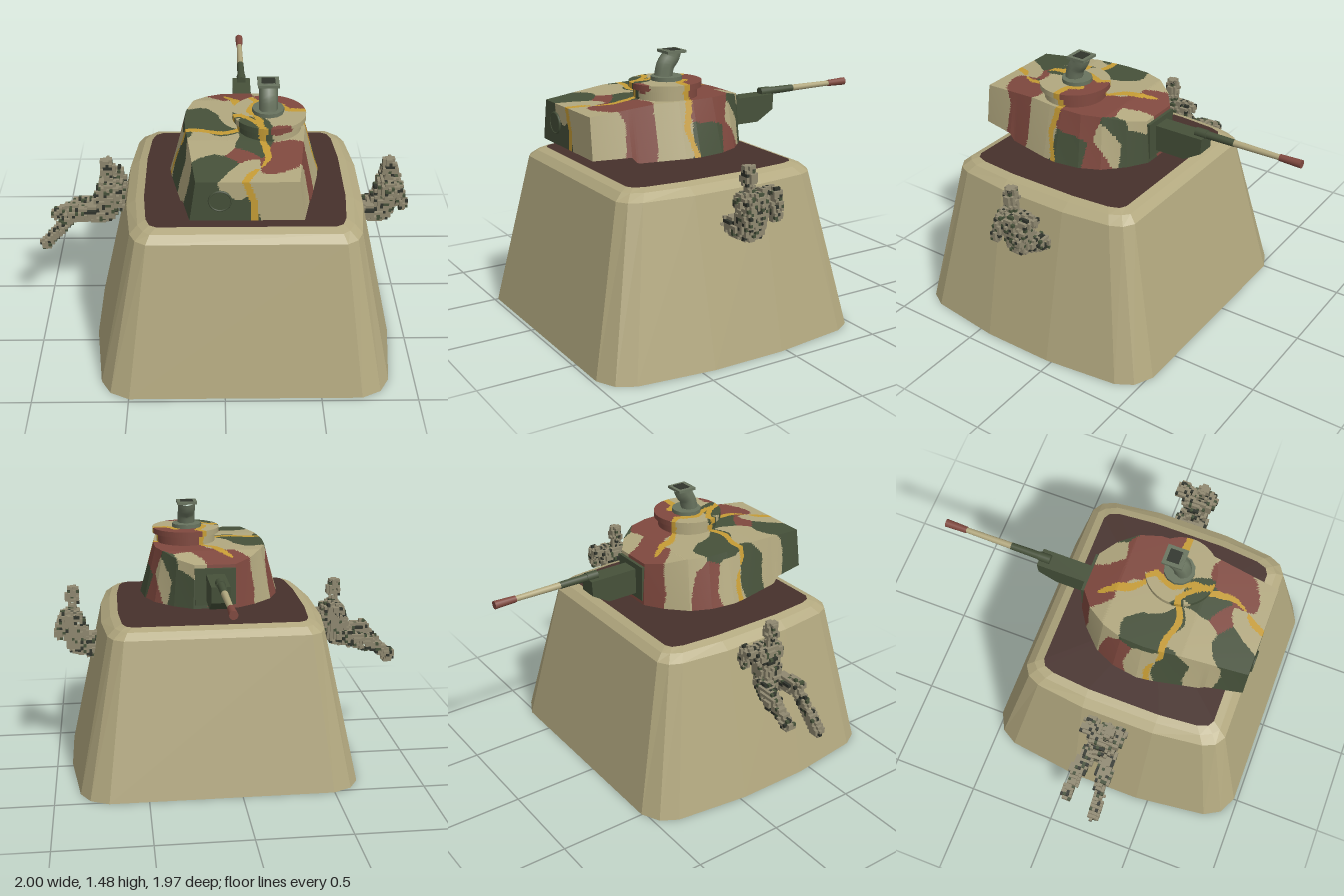
import * as THREE from 'three';
import { mergeGeometries } from 'three/addons/utils/BufferGeometryUtils.js';

const mat = (name, color) => Object.assign(new THREE.MeshStandardMaterial({ color }), { name });
const sand = mat('sand', 0xb2a87f), green = mat('green', 0x46513a), brown = mat('redBrown', 0x80493f);
const yellow = mat('yellow', 0xc69c35), deck = mat('deckBrown', 0x47312c), grey = mat('greyGreen', 0x69745f);
const uniform = mat('uniform', 0x8f8870), dark = mat('dark', 0x30342c);
const camoMats = [sand, green, brown, yellow];
const CX = 0.107, CZ = 0.23;
const V = (x, y, z) => new THREE.Vector3(x, y, z);
const lerp = THREE.MathUtils.lerp;

function add(parent, name, geometry, material, x = 0, y = 0, z = 0) {
  const m = new THREE.Mesh(geometry, material);
  m.name = name;
  m.position.set(x, y, z);
  parent.add(m);
  return m;
}

// Flat-faced skin over closed rings; pick(centroid) chooses the material index of each face
function skin(rings, pick) {
  const bins = [[], [], [], []], c = V(), t = new THREE.Triangle();
  const face = (a, b, d) => {
    t.set(a, b, d);
    if (t.getArea() < 1e-9) return;
    bins[pick ? pick(t.getMidpoint(c)) : 0].push(...a, ...b, ...d);
  };
  for (let r = 0; r + 1 < rings.length; r++) {
    const lo = rings[r], hi = rings[r + 1], n = lo.length;
    for (let i = 0; i < n; i++) {
      const j = (i + 1) % n;
      face(lo[i], lo[j], hi[j]);
      face(lo[i], hi[j], hi[i]);
    }
  }
  const g = new THREE.BufferGeometry();
  g.setAttribute('position', new THREE.Float32BufferAttribute(bins.flat(), 3));
  let start = 0;
  bins.forEach((b, i) => {
    if (b.length) g.addGroup(start, b.length / 3, i);
    start += b.length / 3;
  });
  g.computeVertexNormals();
  return g;
}

// Camouflage: blot centres [x, y, z] for each colour, and yellow lines between them
const T = 1.23, blots = [
  [[-0.12, T, 0.03], [-0.14, T, -0.05], [0.05, T, 0.22], [0.03, T, 0.11], [0.26, 1.18, -0.08], [0.35, T, 0.37], [0, T, 0.5],
    [-0.1, T, 0.49], [0.1, T, 0.71], [0.28, T, 0.77], [0.42, 1.1, 0.72], [0.45, 1.1, 0.41], [0.39, 1.1, -0.04],
    [-0.27, 1.1, 0.25], [-0.2, 1.1, 0.57], [-0.13, 1.1, 0], [0.04, 1.17, 0.81], [0.28, 1.1, 0.81], [0.22, 1.1, 0.81]],
  [[-0.13, T, 0.2], [-0.04, T, 0.29], [0.13, T, 0.5], [-0.08, T, 0.72], [0, T, 0.64], [0.36, 1.16, -0.07], [0.3, 1.08, -0.12],
    [0.49, 1.04, 0.16], [-0.24, 1.1, 0.42], [-0.17, 1.1, 0.74], [-0.1, 1.1, 0.81], [0.09, 1.03, 0.81], [0.01, 1.06, 0.81]],
  [[-0.02, T, -0.1], [0.12, T, -0.02], [0.25, T, 0.06], [0.36, T, 0.15], [0.29, T, 0.2], [0.33, T, 0.56], [0.06, T, 0.58],
    [0.26, T, 0.66], [0.43, 1.1, 0.56], [0.45, 1.2, 0.14], [0.46, 1, 0.03], [-0.25, 1.1, 0.1], [-0.01, 1.1, -0.13]],
];
const lines = [
  [V(0, T, -0.16), V(0.03, T, -0.02), V(0.1, T, 0.1), V(0.16, T, 0.17), V(0.14, T, 0.3), V(0.18, T, 0.42), V(0.22, T, 0.5),
    V(0.2, T, 0.6), V(0.18, T, 0.7), V(0.09, 1.2, 0.8), V(0.14, 1.08, 0.81), V(0.15, 0.98, 0.8)],
  [V(-0.29, 0.96, 0.3), V(-0.2, T, 0.34), V(-0.08, T, 0.37), V(0.08, T, 0.35), V(0.18, T, 0.42)],
  [V(0.28, T, 0.23), V(0.34, T, 0.29), V(0.42, T, 0.27), V(0.46, 1.1, 0.31), V(0.49, 0.96, 0.28)],
];
const segments = lines.flatMap(l => l.slice(1).map((p, i) => new THREE.Line3(l[i], p)));
const near = V();
function camo(p) {
  const q = V(p.x + 0.012 * Math.sin(31 * p.z + 9 * p.y), p.y > 1.235 ? T : p.y, p.z + 0.014 * Math.sin(27 * p.x + 14 * p.y));
  for (const s of segments) if (s.closestPointToPoint(q, true, near).distanceTo(q) < 0.018) return 3;
  let best = 9, pick = 0;
  blots.forEach((list, k) => list.forEach(([x, y, z]) => {
    const d = (q.x - x) ** 2 + 0.6 * (q.y - y) ** 2 + (q.z - z) ** 2;
    if (d < best) { best = d; pick = k; }
  }));
  return pick;
}

// Tapering base with chamfered corners, rounded lip and dark deck
function buildBase(root) {
  const ring = (y, quarter) => {
    const half = [...quarter, ...quarter.map(([x, z]) => [x, -z]).reverse()];
    return [...half, ...half.map(([x, z]) => [-x, -z])].map(([x, z]) => V(CX + x, y, CZ + z));
  };
  const point = (y, r) => r.map(() => V(CX, y, CZ));
  const foot = ring(0, [[0.605, 0.75], [0.705, 0.7], [0.757, 0.61], [0.808, 0.2]]);
  const shoulder = ring(0.84, [[0.5, 0.57], [0.555, 0.535], [0.585, 0.47], [0.617, 0.2]]);
  const lip = ring(0.875, [[0.48, 0.53], [0.515, 0.5], [0.545, 0.44], [0.567, 0.2]]);
  const edge = ring(0.89, [[0.45, 0.485], [0.485, 0.465], [0.505, 0.41], [0.523, 0.2]]);
  add(root, 'base', skin([point(0, foot), foot, shoulder, lip, edge]), sand);
  add(root, 'deck', skin([edge, point(0.89, edge)]), deck);
}

function buildTurret(root) {
  const turret = new THREE.Group();
  turret.name = 'turret';
  root.add(turret);
  // Half outlines from rear to nose: [bottom half width, bottom z, top half width, top z]
  const half = [[0.28, 0.805, 0.25, 0.8], [0.38, 0.33, 0.305, 0.33], [0.39, 0.25, 0.31, 0.25], [0.37, 0.11, 0.305, 0.13],
    [0.32, 0, 0.27, 0.02], [0.22, -0.1, 0.2, -0.08], [0.12, -0.165, 0.11, -0.15]];
  const outline = [...half, ...half.map(([a, b, c, d]) => [-a, b, -c, d]).reverse()];
  const fine = outline.flatMap((p, i) => {
    const q = outline[(i + 1) % outline.length], n = Math.ceil(Math.hypot(q[0] - p[0], q[1] - p[1]) / 0.012);
    return Array.from({ length: n }, (_, k) => p.map((v, j) => lerp(v, q[j], k / n)));
  });
  const roofY = z => z < 0.01 ? lerp(1.235, 1.19, (0.01 - z) / 0.17) : z > 0.45 ? lerp(1.235, 1.2, (z - 0.45) / 0.35) : 1.235;
  const floorY = z => lerp(0.955, 0.988, THREE.MathUtils.clamp((z - 0.58) / 0.03, 0, 1));
  const rings = [fine.map(() => V(CX, 0.955, 0.3))];
  for (let i = 0; i <= 24; i++) rings.push(fine.map(([a, b, c, d]) =>
    V(CX + lerp(a, c, i / 24), lerp(floorY(b), roofY(d), i / 24), lerp(b, d, i / 24))));
  for (let i = 1; i <= 38; i++) rings.push(fine.map(([, , c, d]) => {
    const z = lerp(d, 0.3, i / 38);
    return V(CX + c * (1 - i / 38), roofY(z), z);
  }));
  add(turret, 'turretShell', skin(rings, camo), camoMats);

  // Commander's cupola
  const circle = (r, y) => Array.from({ length: 96 }, (_, i) => {
    const a = i / 96 * Math.PI * 2;
    return V(0.23 + r * Math.sin(a), y, 0.3 + r * Math.cos(a));
  });
  const cup = [1.225, 1.245, 1.265, 1.285].map(y => circle(0.165, y));
  cup.push(circle(0.188, 1.285), circle(0.188, 1.3));
  for (let i = 0; i <= 16; i++) cup.push(circle(0.188 * (1 - i / 16), 1.315));
  add(turret, 'cupola', skin(cup, camo), camoMats);

  // Bent periscope on the cupola
  add(turret, 'periscopeFlange', new THREE.CylinderGeometry(0.082, 0.082, 0.022, 12), grey, 0.225, 1.325, 0.29);
  const bend = new THREE.CatmullRomCurve3([V(0.225, 1.33, 0.31), V(0.225, 1.39, 0.295), V(0.225, 1.43, 0.265), V(0.225, 1.46, 0.255)]);
  add(turret, 'periscopeTube', new THREE.TubeGeometry(bend, 10, 0.048, 8), grey);
  add(turret, 'periscopeHead', new THREE.BoxGeometry(0.11, 0.014, 0.11), grey, 0.225, 1.46, 0.258);
  add(turret, 'periscopeOpening', new THREE.BoxGeometry(0.07, 0.004, 0.065), dark, 0.225, 1.468, 0.255);

  // Round hatch on the rear plate
  add(turret, 'rearHatch', new THREE.CylinderGeometry(0.05, 0.05, 0.008, 24).rotateX(Math.PI / 2), green, -0.025, 1.1, 0.806);
  add(turret, 'rearHatchRim', new THREE.TorusGeometry(0.053, 0.006, 6, 24), green, -0.025, 1.1, 0.807);
}

function buildGun(root) {
  const gun = new THREE.Group();
  gun.name = 'gun';
  root.add(gun);
  add(gun, 'gunShield', new THREE.BoxGeometry(0.22, 0.2, 0.05), green, CX, 1.075, -0.143);
  const side = new THREE.Shape([[0.14, 1], [0.34, 1], [0.44, 1.06], [0.445, 1.145], [0.14, 1.145]].map(p => new THREE.Vector2(...p)));
  const housing = new THREE.ExtrudeGeometry(side, { depth: 0.1, bevelEnabled: false }).rotateY(Math.PI / 2);
  add(gun, 'gunHousing', housing, green, CX - 0.05, 0, 0);
  // Barrel sections: name, colour, rear z, front z, rear radius, front radius
  for (const [name, m, z0, z1, r0, r1] of [
    ['barrelSleeve', green, -0.385, -0.45, 0.025, 0.025], ['barrelRear', green, -0.45, -0.61, 0.021, 0.019],
    ['barrelFront', sand, -0.61, -0.87, 0.018, 0.015], ['muzzle', brown, -0.87, -0.99, 0.018, 0.022]]) {
    const g = new THREE.CylinderGeometry(r1, r0, z0 - z1, 16).rotateX(-Math.PI / 2);
    add(gun, name, g, m, CX, 1.155, (z0 + z1) / 2);
  }
}

// Seated crew made of small cubes filled into limbs: [start, end, radius]
function crewGeometries() {
  const limbs = [
    [V(-0.62, 0.93, 0.225), V(-0.62, 0.95, 0.225), 0.038], [V(-0.62, 0.985, 0.225), V(-0.62, 0.99, 0.225), 0.03],
    [V(-0.62, 0.84, 0.22), V(-0.62, 0.91, 0.22), 0.028],
    [V(-0.62, 0.82, 0.16), V(-0.61, 0.82, 0.25), 0.055], [V(-0.61, 0.8, 0.2), V(-0.65, 0.68, 0.2), 0.075],
    [V(-0.57, 0.85, 0.1), V(-0.54, 0.75, 0.12), 0.03], [V(-0.57, 0.83, 0.26), V(-0.54, 0.74, 0.27), 0.03],
    [V(-0.62, 0.85, 0.08), V(-0.6, 0.86, 0.16), 0.025],
    [V(-0.66, 0.67, 0.24), V(-0.8, 0.69, 0.26), 0.045], [V(-0.8, 0.69, 0.26), V(-0.97, 0.5, 0.27), 0.032],
    [V(-0.66, 0.67, 0.15), V(-0.8, 0.64, 0.11), 0.045], [V(-0.8, 0.64, 0.11), V(-0.93, 0.58, 0.1), 0.032],
  ].map(([a, b, r]) => [new THREE.Line3(a, b), r]);
  const S = 0.016, p = V(), bins = [[], [], []];
  const inside = (x, y, z) => {
    p.set(x, y, z);
    return limbs.some(([l, r]) => l.closestPointToPoint(p, true, near).distanceTo(p) < r);
  };
  let seed = 7;
  const rand = () => (seed = (seed * 16807) % 2147483647) / 2147483647;
  for (let x = -1; x < -0.49; x += S) for (let y = 0.46; y < 1.03; y += S) for (let z = 0.04; z < 0.34; z += S) {
    if (!inside(x, y, z)) continue;
    const buried = inside(x + S, y, z) && inside(x - S, y, z) && inside(x, y + S, z) && inside(x, y - S, z)
      && inside(x, y, z + S) && inside(x, y, z - S);
    const k = rand();
    if (buried || k > 0.93) continue;
    bins[k < 0.13 ? 2 : k < 0.22 ? 1 : 0].push(new THREE.BoxGeometry(S, S, S).translate(x, Math.min(y, 0.992), z));
  }
  return bins.map(b => mergeGeometries(b));
}

export function createModel() {
  const root = new THREE.Group();
  root.name = 'turretBunker';
  buildBase(root);
  buildTurret(root);
  buildGun(root);
  const parts = crewGeometries();
  for (const [name, x] of [['rightCrewman', 0], ['leftCrewman', 1.5]]) {
    const man = new THREE.Group();
    man.name = name;
    man.position.x = x;
    parts.forEach((g, i) => add(man, ['crewCloth', 'crewGear', 'crewShadowGear'][i], g, [uniform, green, dark][i]));
    root.add(man);
  }
  return root;
}
